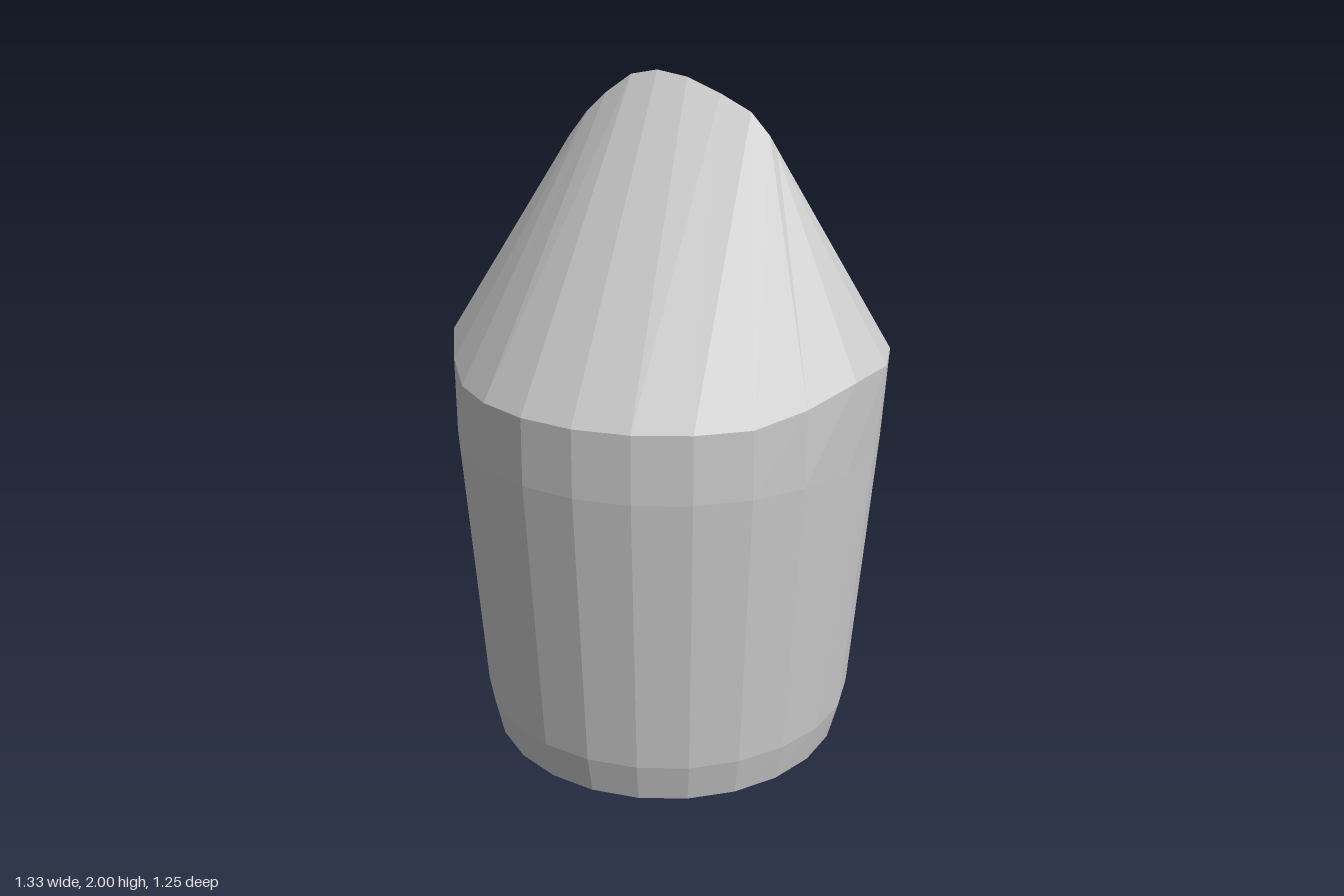
import * as THREE from 'three';

const SIDES = 24;

// Ridge of the roof from +x to -x; one point per half-turn step.
const RIDGE = [
  [0.33, 1.79], [0.33, 1.79], [0.305, 1.84], [0.25, 1.9], [0.16, 1.945], [0.06, 1.985], [-0.03, 2],
  [-0.11, 1.985], [-0.19, 1.93], [-0.25, 1.875], [-0.31, 1.8], [-0.31, 1.8], [-0.31, 1.8],
];

// Ring of points; rx and rz are half-widths, lift raises the two ends on x.
function ring(y, rx, rz, lift = 0) {
  return Array.from({ length: SIDES }, (_, i) => {
    const a = (i / SIDES) * Math.PI * 2;
    const end = Math.max(0, (Math.abs(Math.cos(a)) - 0.8) / 0.2);
    const r = rz + (rx - rz) * end ** 2;
    return [r * Math.cos(a), y + lift * Math.min(1, end * 1.15), r * Math.sin(a)];
  });
}

// Flat-shaded skin through successive rings.
function skin(rings) {
  const pos = [];
  for (let k = 0; k < rings.length - 1; k++) {
    const lo = rings[k], hi = rings[k + 1];
    for (let i = 0; i < SIDES; i++) {
      const j = (i + 1) % SIDES;
      pos.push(...lo[i], ...hi[i], ...lo[j], ...lo[j], ...hi[i], ...hi[j]);
    }
  }
  const g = new THREE.BufferGeometry();
  g.setAttribute('position', new THREE.Float32BufferAttribute(pos, 3));
  g.computeVertexNormals();
  return g;
}

export function createModel() {
  const group = new THREE.Group();
  const grey = new THREE.MeshStandardMaterial({ color: 0xcccccc });
  grey.name = 'light grey';
  const add = (name, geometry) => {
    const mesh = new THREE.Mesh(geometry, grey);
    mesh.name = name;
    group.add(mesh);
    return mesh;
  };

  // Tapered body with a bevelled foot and a rim raised at both ends
  const rim = ring(1.155, 0.665, 0.62, 0.075);
  add('body', skin([
    ring(0, 0.542, 0.542),
    ring(0.12, 0.573, 0.568),
    ring(0.96, 0.642, 0.623),
    rim,
  ]));

  // Wedge roof: the round rim closes onto the curved ridge
  const ridge = rim.map((_, i) => {
    const [x, y] = RIDGE[i <= SIDES / 2 ? i : SIDES - i];
    return [x, y, 0];
  });
  add('wedgeRoof', skin([rim, ridge]));

  // Flat underside
  const base = add('base', new THREE.CircleGeometry(0.542, SIDES));
  base.rotation.x = Math.PI / 2;

  return group;
}
